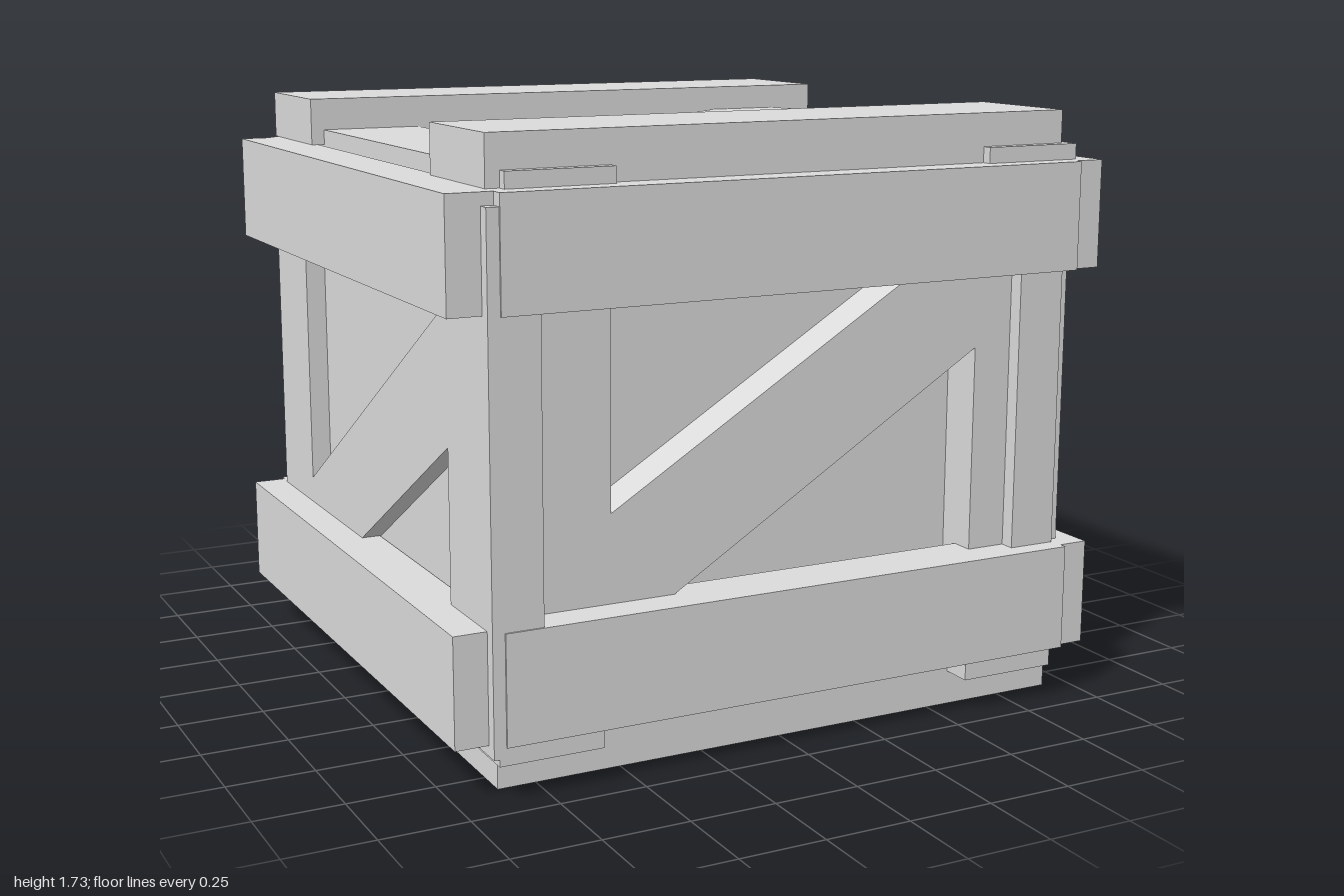
import * as THREE from 'three';

export function createModel() {
  const crate = new THREE.Group();
  crate.name = 'crate';
  const grey = new THREE.MeshStandardMaterial({ color: 0xdbdbdb });
  grey.name = 'plain grey';

  const add = (name, geometry) => {
    const mesh = new THREE.Mesh(geometry, grey);
    mesh.name = name;
    crate.add(mesh);
    return mesh;
  };

  // Box given by its limits on each axis
  const board = (name, [x0, x1], [y0, y1], [z0, z1]) =>
    add(name, new THREE.BoxGeometry(x1 - x0, y1 - y0, z1 - z0)
      .translate((x0 + x1) / 2, (y0 + y1) / 2, (z0 + z1) / 2));

  // Flat outline with optional cut-outs, extruded between two depths
  const points = list => list.map(([x, y]) => new THREE.Vector2(x, y));
  const plate = (name, outline, holes, [d0, d1]) => {
    const shape = new THREE.Shape(points(outline));
    holes.forEach(h => shape.holes.push(new THREE.Path(points(h))));
    const geometry = new THREE.ExtrudeGeometry(shape, { depth: d1 - d0, bevelEnabled: false });
    return add(name, geometry.translate(0, 0, d0));
  };
  const rect = (x0, x1, y0, y1) => [[x0, y0], [x1, y0], [x1, y1], [x0, y1]];

  // Inner body that forms the recessed panels
  board('innerPanels', [-0.845, 0.8], [0.125, 1.55], [-0.67, 0.7]);

  // Front bracing: uprights joined by a diagonal
  plate('frontBrace', rect(-0.8, 0.8, 0.15, 1.55), [
    [[-0.52, 0.71], [0.49, 1.33], [-0.52, 1.33]],
    [[-0.41, 0.41], [0.64, 0.41], [0.64, 1.06]],
  ], [0.64, 0.83]);

  // Back bracing, with a lower diagonal
  plate('backBrace', rect(-0.8, 0.8, 0.15, 1.55), [
    [[-0.567, 0.55], [0.57, 1.247], [0.57, 1.33], [-0.567, 1.33]],
    [[-0.225, 0.41], [0.57, 0.41], [0.57, 0.9]],
  ], [0.64, 0.81]).rotation.y = Math.PI;

  // Bracing of the -x side with its corner posts
  plate('sideBrace', rect(-0.84, 0.93, 0.12, 1.555), [
    [[-0.55, 0.54], [0.65, 1.28], [0.65, 1.33], [-0.55, 1.33]],
    [[-0.165, 0.41], [0.64, 0.41], [0.64, 0.89]],
  ], [0.76, 0.905]).rotation.y = -Math.PI / 2;

  // +x side: posts behind a closed panel
  for (const z of [[0.635, 0.875], [-0.9, -0.65]]) {
    board('cornerPost', [0.76, 0.905], [0.13, 1.59], z);
  }
  board('sidePanel', [0.8, 0.94], [0.125, 1.59], [-0.66, 0.85]);

  // Horizontal beams around the four sides
  for (const y of [[0.15, 0.46], [1.28, 1.59]]) {
    board('frontBeam', [-0.87, 0.91], y, [0.76, 0.935]);
    board('backBeam', [-0.9, 0.91], y, [-0.905, -0.76]);
    board('leftBeam', [0.85, 1], y, [-0.87, 0.913]);
    board('rightBeam', [-1, -0.85], y, [-0.88, 0.895]);
  }

  // Lid boards, diagonal and beams
  for (const x of [[-0.83, -0.52], [0.64, 0.94]]) {
    board('lidBoard', x, [1.5, 1.635], [-0.9, 0.87]);
  }
  plate('lidDiagonal', [[-0.86, -0.5], [-0.27, -0.5], [0.86, 0.36], [0.74, 0.6], [0.59, 0.6]],
    [], [1.54, 1.655]).rotation.x = -Math.PI / 2;
  for (const z of [[-0.94, -0.56], [0.46, 0.84]]) {
    board('lidBeam', [-0.87, 0.91], [1.59, 1.73], z);
    board('runner', [-0.86, 0.92], [0, 0.148], z);
  }

  // Base boards and diagonal
  for (const x of [[-0.89, -0.59], [0.57, 0.87]]) {
    board('baseBoard', x, [0.1, 0.2], [-0.66, 0.93]);
  }
  plate('baseDiagonal',
    [[0.57, 0.346], [0.57, 0.82], [0.5, 0.82], [-0.59, -0.1], [-0.59, -0.61]],
    [], [-0.16, -0.1]).rotation.x = Math.PI / 2;

  return crate;
}
